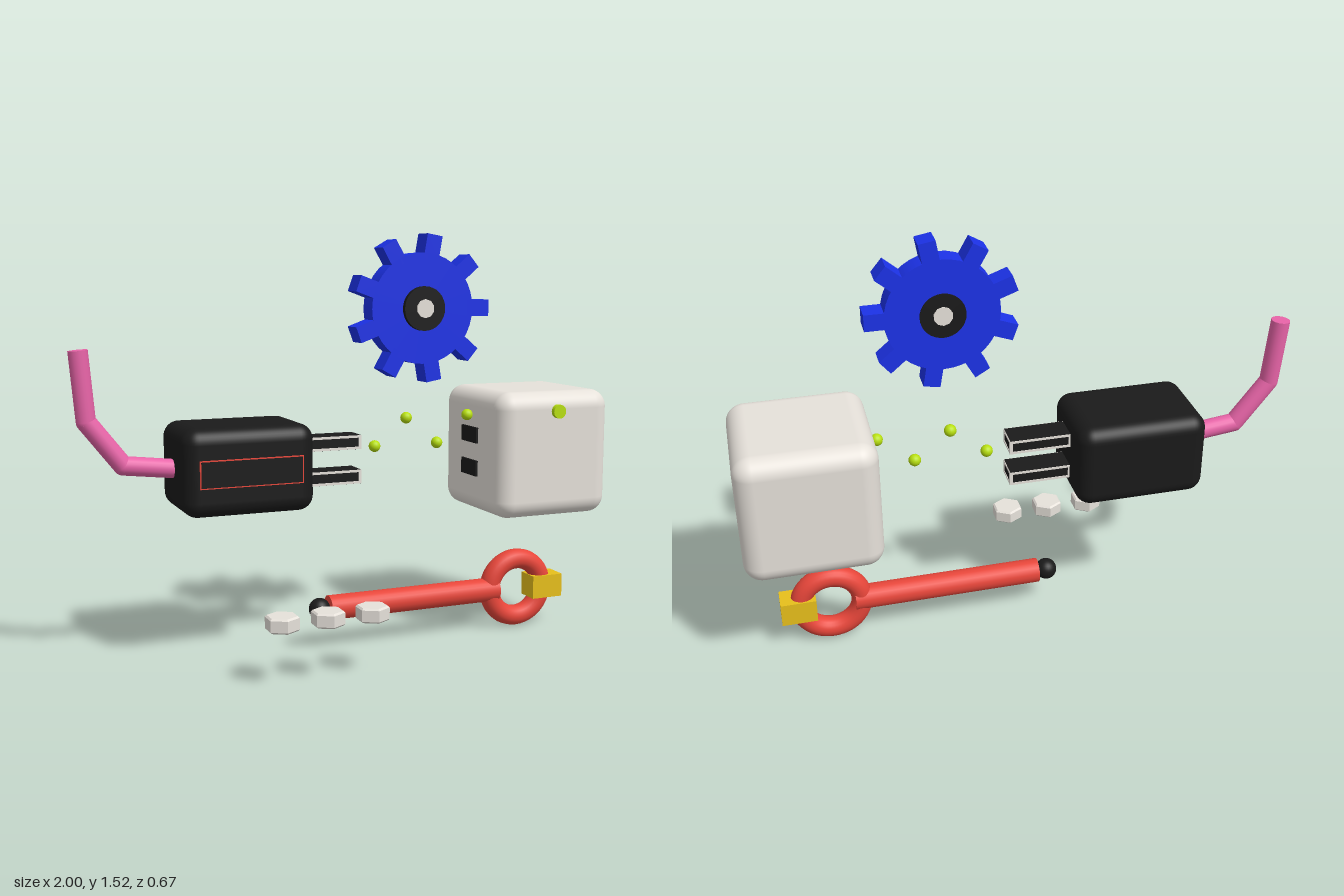
import * as THREE from 'three';
import { RoundedBoxGeometry } from 'three/addons/geometries/RoundedBoxGeometry.js';

const mat = (name, color) => {
  const m = new THREE.MeshStandardMaterial({ color });
  m.name = name;
  return m;
};

export function createModel() {
  const black = mat('black', 0x1a1a1a);
  const grey = mat('warmGrey', 0xe6e1da);
  const blue = mat('blue', 0x1c32e8);
  const red = mat('red', 0xe8463a);
  const pink = mat('pink', 0xf068ae);
  const yellow = mat('yellow', 0xeac21c);
  const green = mat('lime', 0xb8e010);

  const model = new THREE.Group();
  model.name = 'plugAndToolKit';
  const group = (name, x, y, z) => {
    const g = new THREE.Group();
    g.name = name;
    g.position.set(x, y, z);
    model.add(g);
    return g;
  };
  const add = (parent, name, geo, material, x = 0, y = 0, z = 0) => {
    const m = new THREE.Mesh(geo, material);
    m.name = name;
    m.position.set(x, y, z);
    parent.add(m);
    return m;
  };
  const box = (w, h, d) => new THREE.BoxGeometry(w, h, d);
  const disc = (r, z0, z1, n = 32) =>
    new THREE.CylinderGeometry(r, r, z1 - z0, n).rotateX(Math.PI / 2).translate(0, 0, (z0 + z1) / 2);
  // thin rectangular outline, w by h, lying in the xy plane of its parent
  const frame = (parent, name, material, w, h, t, d) => {
    for (const s of [-1, 1]) {
      add(parent, name, box(w, t, d), material, 0, s * (h - t) / 2);
      add(parent, name, box(t, h - 2 * t, d), material, s * (w - t) / 2);
    }
  };

  // Gear with nine square teeth
  const gear = group('gear', 0.249, 1.255, -0.002);
  add(gear, 'gearDisc', disc(0.2, -0.04, 0.04, 40), blue);
  for (let i = 0; i < 9; i++) {
    const a = i * Math.PI * 2 / 9;
    const tooth = add(gear, 'gearTooth', box(0.09, 0.06, 0.08), blue, Math.cos(a) * 0.222, Math.sin(a) * 0.222);
    tooth.rotation.z = a;
  }
  add(gear, 'gearHub', disc(0.08, -0.044, 0.058), black);
  add(gear, 'gearAxle', disc(0.034, -0.048, 0.064, 10), grey);

  // Plug body with a black panel on a red backing plate
  const plug = group('plug', -0.414, 0.704, -0.097);
  add(plug, 'plugBody', new RoundedBoxGeometry(0.475, 0.31, 0.345, 5, 0.055), black);
  add(plug, 'panelBacking', box(0.372, 0.098, 0.009), red, 0, 0, 0.174);
  add(plug, 'panelFace', box(0.364, 0.09, 0.002), black, 0, 0, 0.1783);

  // Prongs with light trim around the sides and the tip
  for (const y of [0.064, -0.064]) {
    const prong = new THREE.Group();
    prong.name = 'prong';
    prong.position.set(0.337, y, 0);
    plug.add(prong);
    add(prong, 'prongBlade', box(0.24, 0.052, 0.094), black);
    const trim = (x, z, turn, w) => {
      const t = new THREE.Group();
      t.name = 'prongTrim';
      t.position.set(x, 0, z);
      t.rotation.y = turn;
      prong.add(t);
      frame(t, 'prongTrimBar', grey, w, 0.051, 0.009, 0.004);
    };
    for (const s of [-1, 1]) trim(0.009, s * 0.047, 0, 0.222);
    trim(0.12, 0, Math.PI / 2, 0.094);
  }

  // Bent cord: straight pieces joined by round elbows
  const cord = group('cord', 0.002, -0.004, -0.097);
  const pts = [[-0.62, 0.706], [-0.826, 0.73], [-0.948, 0.888], [-0.968, 1.13]]
    .map(([x, y]) => new THREE.Vector3(x, y, 0));
  const up = new THREE.Vector3(0, 1, 0);
  for (let i = 0; i < 3; i++) {
    const dir = pts[i + 1].clone().sub(pts[i]);
    const mid = pts[i].clone().add(pts[i + 1]).multiplyScalar(0.5);
    const piece = add(cord, 'cordPiece', new THREE.CylinderGeometry(0.034, 0.034, dir.length(), 20), pink, mid.x, mid.y);
    piece.quaternion.setFromUnitVectors(up, dir.normalize());
    if (i) add(cord, 'cordElbow', new THREE.SphereGeometry(0.034, 20, 12), pink, pts[i].x, pts[i].y);
  }

  // Socket cube with slots and a button
  const socket = group('socket', 0.761, 0.704, -0.097);
  add(socket, 'socketBody', new RoundedBoxGeometry(0.477, 0.477, 0.475, 6, 0.065), grey);
  for (const y of [0.064, -0.064]) add(socket, 'socketSlot', box(0.03, 0.06, 0.118), black, -0.233, y, 0);
  add(socket, 'socketButton', disc(0.026, 0.22, 0.255, 24), green, 0, 0.166, 0);

  // Sparks between plug and socket
  const sparks = group('sparks', 0.003, -0.004, -0.098);
  for (let i = 0; i < 4; i++) {
    add(sparks, 'spark', new THREE.SphereGeometry(0.022, 16, 12), green, 0.115 + i * 0.129, i % 2 ? 0.847 : 0.746);
  }

  // Ring-handled rod
  const key = group('ringTool', 0.003, 0.153, -0.056);
  add(key, 'rod', new THREE.CylinderGeometry(0.046, 0.046, 0.703, 24).rotateZ(Math.PI / 2), red, 0.264);
  add(key, 'ring', new THREE.TorusGeometry(0.114, 0.039, 20, 48), red, 0.703);
  add(key, 'rodTip', new THREE.SphereGeometry(0.04, 24, 16), black, -0.123);
  add(key, 'ringBlock', box(0.13, 0.09, 0.09), yellow, 0.825);

  // Row of hex nuts with softened edges
  const nuts = group('hexNuts', -0.213, 0.219, 0.272);
  const outline = new THREE.Shape();
  for (let i = 0; i < 6; i++) {
    const a = Math.PI / 6 + i * Math.PI / 3;
    outline[i ? 'lineTo' : 'moveTo'](Math.cos(a) * 0.053, Math.sin(a) * 0.053);
  }
  outline.closePath();
  const hex = new THREE.ExtrudeGeometry(outline, {
    depth: 0.04, bevelThickness: 0.006, bevelSize: 0.006, bevelSegments: 1,
  }).translate(0, 0, -0.02).rotateX(-Math.PI / 2);
  for (const i of [-1, 0, 1]) add(nuts, 'hexNut', hex, grey, i * 0.165);

  return model;
}
